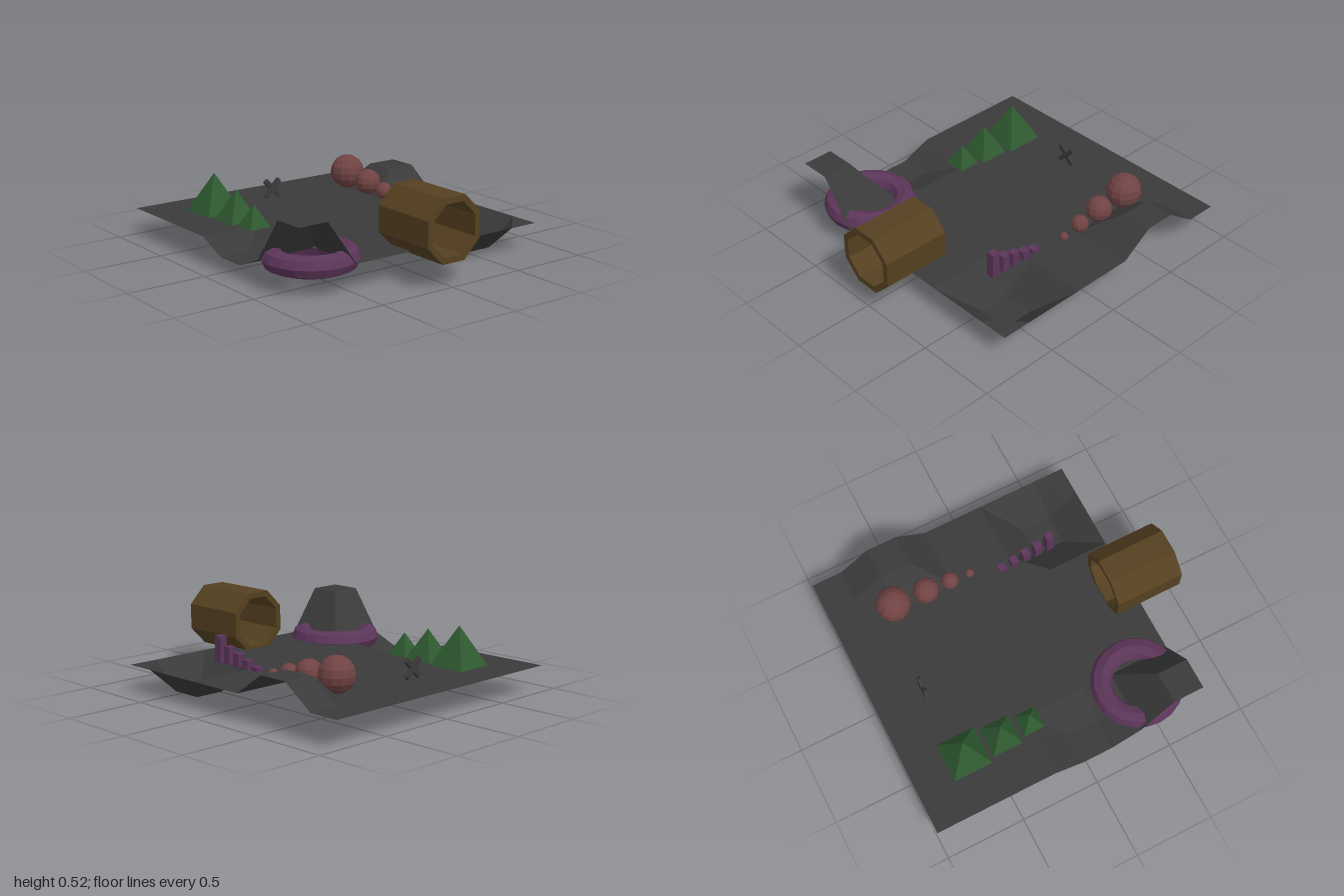
import * as THREE from 'three';

const mat = (name, color, side = THREE.FrontSide) => {
  const m = new THREE.MeshStandardMaterial({ color, side, flatShading: true });
  m.name = name;
  return m;
};

export function createModel() {
  const group = new THREE.Group();
  const grey = mat('dark grey', 0x3a3a3a, THREE.DoubleSide);
  const brown = mat('brown', 0x554020);
  const green = mat('green', 0x2f5a31);
  const purple = mat('purple', 0x5c3559);
  const red = mat('dusty red', 0x704343);
  const BASE = 0.165;

  const add = (name, geometry, material, x = 0, y = 0, z = 0) => {
    const mesh = new THREE.Mesh(geometry, material);
    mesh.name = name;
    mesh.position.set(x, y, z);
    group.add(mesh);
    return mesh;
  };

  // Ground: a 9 x 9 grid with raised and sunken patches [col0, col1, row0, row1, height]
  const patches = [
    [0, 1, 8, 9, 0.438], // cliff
    [0, 1, 5, 6, 0.085], // shallow dip
    [7, 8, 7, 8, 0.0],   // deep pit
    [8, 9, 2, 3, 0.302], // low hill
  ];
  const ground = new THREE.PlaneGeometry(1.75, 1.75, 9, 9).rotateX(-Math.PI / 2);
  const pos = ground.attributes.position;
  for (let i = 0; i < pos.count; i++) {
    const col = i % 10, row = Math.floor(i / 10);
    const patch = patches.find(([a, b, c, d]) => col >= a && col <= b && row >= c && row <= d);
    pos.setY(i, patch ? patch[4] : BASE);
  }
  ground.computeVertexNormals();
  add('ground', ground, grey, 0.003, 0, -0.125);

  // Octagonal open tunnel
  const octagon = (target, r) => {
    const pts = [];
    for (let i = 0; i < 8; i++) {
      const a = Math.PI / 8 + (i * Math.PI) / 4;
      pts.push(new THREE.Vector2(Math.cos(a) * r, Math.sin(a) * r));
    }
    return target.setFromPoints(pts);
  };
  const ring = octagon(new THREE.Shape(), 0.205);
  ring.holes.push(octagon(new THREE.Path(), 0.166));
  add('tunnel', new THREE.ExtrudeGeometry(ring, { depth: 0.435, bevelEnabled: false }), brown, 0.004, 0.333, 0.565);

  // Ring lying around the cliff
  add('ring', new THREE.TorusGeometry(0.217, 0.068, 8, 20).rotateX(Math.PI / 2), purple, -0.6, 0.167, 0.48);

  // Row of pyramids: [z, half width, height]
  [[-0.648, 0.124, 0.245], [-0.402, 0.097, 0.19], [-0.21, 0.07, 0.137]].forEach(([z, half, h], i) => {
    const cone = new THREE.ConeGeometry(half * Math.SQRT2, h, 4).rotateY(Math.PI / 4);
    add('pyramid' + (i + 1), cone, green, -0.517, BASE + h / 2, z);
  });

  // Row of balls: [z, radius]
  [[-0.62, 0.11], [-0.4, 0.082], [-0.237, 0.055], [-0.102, 0.028]].forEach(([z, r], i) => {
    add('ball' + (i + 1), new THREE.SphereGeometry(r, 12, 8), red, 0.495, BASE + 0.002 + r, z);
  });

  // Row of rising posts
  [0.027, 0.054, 0.082, 0.11, 0.165].forEach((h, i) => {
    add('post' + (i + 1), new THREE.BoxGeometry(0.05, h, 0.05), purple, 0.44, BASE + h / 2, 0.097 + i * 0.0815);
  });

  // Upright cross of two bars
  for (const s of [-1, 1]) {
    const bar = add('crossBar', new THREE.BoxGeometry(0.15, 0.03, 0.024), grey, -0.056, 0.232, -0.69);
    bar.rotation.z = (s * Math.PI) / 4;
  }

  return group;
}
